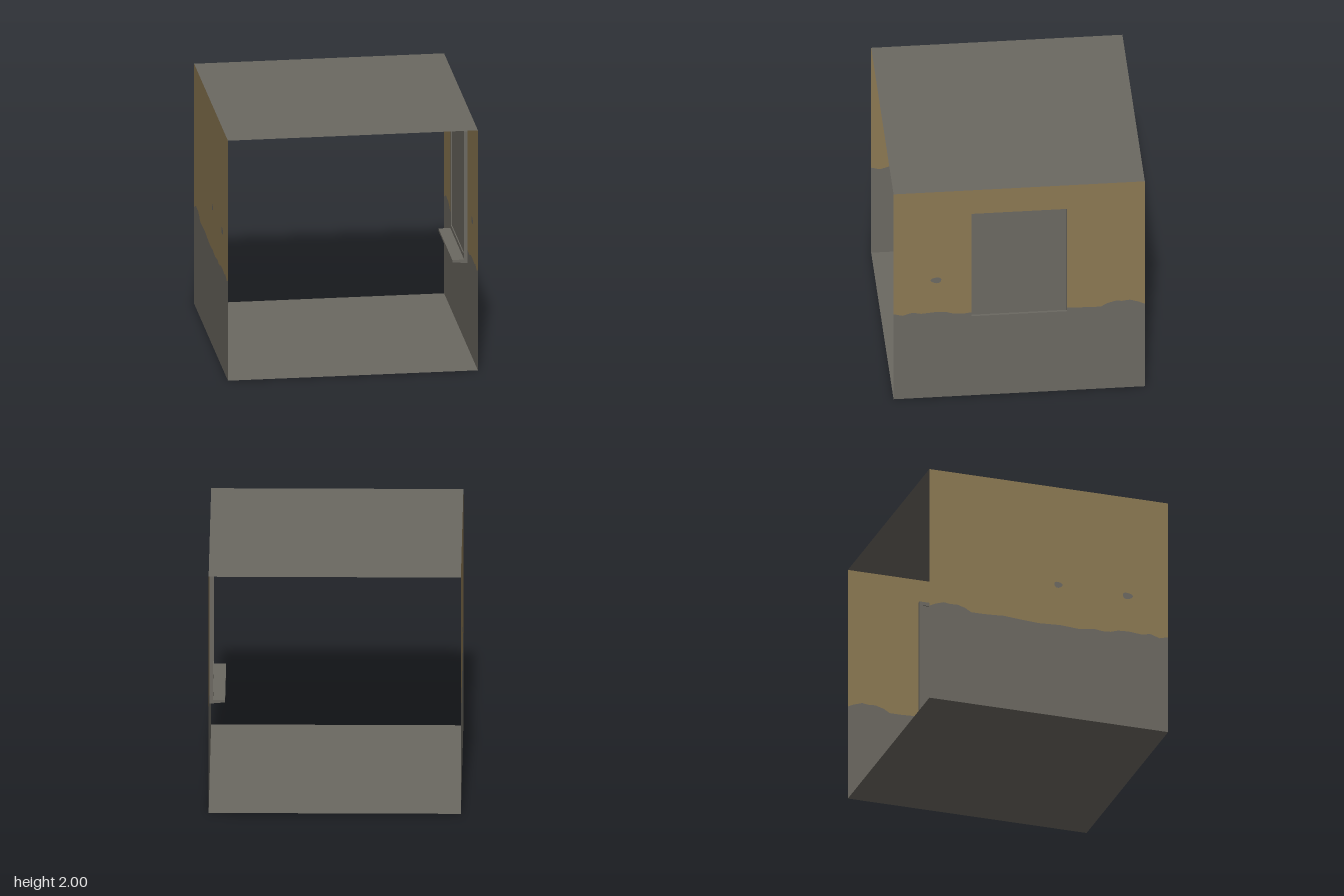
import * as THREE from 'three';

const concrete = new THREE.MeshStandardMaterial({ color: 0x6b6861, side: THREE.DoubleSide });
concrete.name = 'grey concrete';
const plaster = new THREE.MeshStandardMaterial({ color: 0x8b7852, side: THREE.DoubleSide });
plaster.name = 'ochre plaster';

// ragged lower edge of the plaster as [z, y], from front to back
const edge = [
  [1, 0.83], [0.93, 0.81], [0.85, 0.835], [0.78, 0.82], [0.67, 0.83], [0.58, 0.825],
  [0.52, 0.805], [0.45, 0.8], [0.38, 0.81], [0.25, 0.79], [0.1, 0.8], [-0.08, 0.79],
  [-0.25, 0.8], [-0.38, 0.81], [-0.45, 0.805], [-0.55, 0.8], [-0.65, 0.8], [-0.7, 0.83],
  [-0.77, 0.85], [-0.82, 0.845], [-0.88, 0.853], [-0.95, 0.83], [-1, 0.805],
];
// window opening
const W = 0.38, SILL = 0.77, HEAD = 1.77;

const outline = (pts) => pts.map(([z, y]) => new THREE.Vector2(z, y));
const rect = (w, y0, y1) => outline([[-w, y0], [w, y0], [w, y1], [-w, y1]]);

// chipped spot in the plaster
function spot(z, y, rz, ry) {
  const pts = [];
  for (let i = 0; i < 12; i++) {
    const a = (i / 12) * Math.PI * 2, r = 1 + 0.08 * Math.sin(3 * a + 1);
    pts.push([z + rz * r * Math.cos(a), y + ry * r * Math.sin(a)]);
  }
  return outline(pts);
}

function add(group, name, geometry, material) {
  const mesh = new THREE.Mesh(geometry, material);
  mesh.name = name;
  group.add(mesh);
  return mesh;
}

// turns a drawing in (z, y) into an upright sheet at the given x
const sheet = (shape, x) => new THREE.ShapeGeometry(shape).rotateY(-Math.PI / 2).translate(x, 0, 0);

function makeWall(name, x, hasWindow, spots) {
  const wall = new THREE.Group();
  wall.name = name;
  const edgeAround = (y) => hasWindow
    ? [...edge.filter((p) => p[0] >= W), [W, y], [-W, y], ...edge.filter((p) => p[0] <= -W)]
    : edge;
  const upper = new THREE.Shape(outline([...edgeAround(HEAD), [-1, 2], [1, 2]]));
  const lower = new THREE.Shape(outline([...edgeAround(SILL), [-1, 0], [1, 0]]));
  for (const s of spots) {
    upper.holes.push(new THREE.Path(s));
    add(wall, 'chippedSpot', sheet(new THREE.Shape(s), x), concrete);
  }
  add(wall, 'upperPlaster', sheet(upper, x), plaster);
  add(wall, 'lowerConcrete', sheet(lower, x), concrete);
  return wall;
}

export function createModel() {
  const room = new THREE.Group();
  room.name = 'room';

  // floor and ceiling
  for (const [name, y] of [['floor', 0], ['ceiling', 2]]) {
    add(room, name, new THREE.PlaneGeometry(2, 2).rotateX(-Math.PI / 2).translate(0, y, 0), concrete);
  }

  // side walls, open at front and back
  const chip = spot(0.66, 1.14, 0.043, 0.028);
  room.add(makeWall('windowWall', 1, true, [chip]));
  room.add(makeWall('plainWall', -1, false, [chip, spot(0.08, 1.15, 0.035, 0.026)]));

  // window frame, standing proud of the inner wall face
  const ring = new THREE.Shape(rect(0.41, 0.705, 1.8));
  ring.holes.push(new THREE.Path(rect(W, SILL, HEAD)));
  const frame = new THREE.ExtrudeGeometry(ring, { depth: 0.028, bevelEnabled: false });
  add(room, 'windowFrame', frame.rotateY(-Math.PI / 2).translate(0.998, 0, 0), concrete);

  // blind pane
  add(room, 'windowPane', sheet(new THREE.Shape(rect(W, SILL, HEAD)), 0.978), concrete);

  // inner sill with sloping underside
  const profile = new THREE.Shape(outline([[0.875, 0.715], [0.972, 0.707], [0.972, 0.735], [0.875, 0.735]]));
  const sill = new THREE.ExtrudeGeometry(profile, { depth: 0.82, bevelEnabled: false });
  add(room, 'windowSill', sill.translate(0, 0, -0.41), concrete);

  return room;
}
